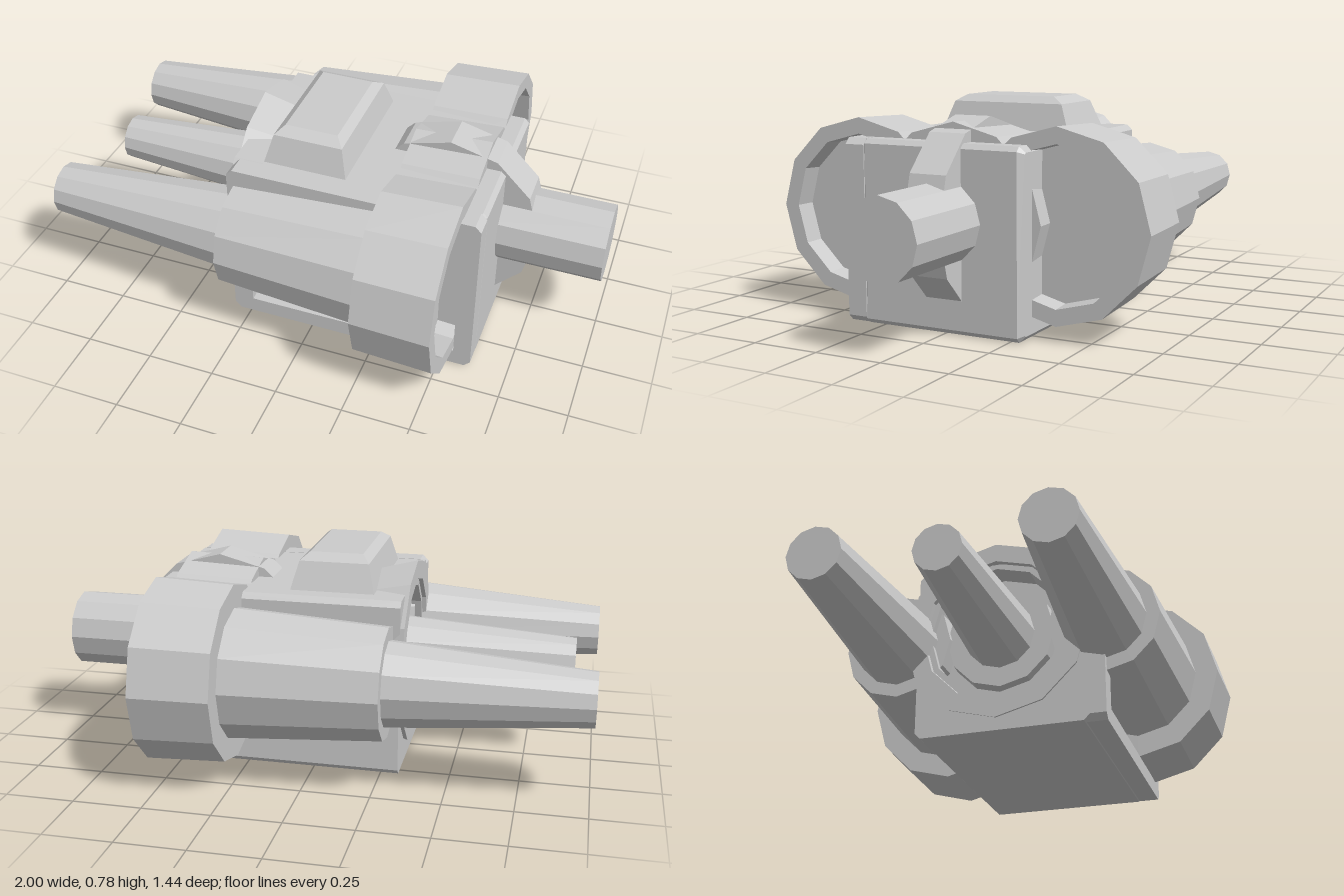
import * as THREE from 'three';

const AXIS_Y = 0.388;

export function createModel() {
  const model = new THREE.Group();
  const material = new THREE.MeshStandardMaterial({
    color: 0xcccccc, flatShading: true, side: THREE.DoubleSide,
  });

  const add = (name, geometry, parent = model) => {
    const mesh = new THREE.Mesh(geometry, material);
    mesh.name = name;
    parent.add(mesh);
    return mesh;
  };

  // Twelve-sided turned part along x; the profile lists [radius, x]
  const turned = (profile) => {
    const points = profile.map(([r, x]) => new THREE.Vector2(r, x));
    return new THREE.LatheGeometry(points, 12).rotateZ(-Math.PI / 2);
  };

  // Rectangle with cut corners
  const cutRect = (x0, y0, x1, y1, c) => new THREE.Shape([
    [x0 + c, y0], [x1 - c, y0], [x1, y0 + c], [x1, y1 - c],
    [x1 - c, y1], [x0 + c, y1], [x0, y1 - c], [x0, y0 + c],
  ].map(([x, y]) => new THREE.Vector2(x, y)));

  // Main housing, bevelled at its back
  const bevel = 0.02;
  const body = new THREE.ExtrudeGeometry(
    cutRect(-0.22 + bevel, bevel, 0.615 - bevel, 0.655 - bevel, 0.005),
    { depth: 0.595, bevelSize: bevel, bevelThickness: bevel, bevelSegments: 1 });
  add('housing', body.translate(0, 0, -0.28));

  // Frame around the recessed front panel
  const frame = cutRect(-0.315, 0, 0.615, 0.655, 0.022);
  frame.holes.push(new THREE.Path([
    [-0.24, 0.06], [-0.24, 0.59], [0.55, 0.59], [0.55, 0.06],
  ].map(([x, y]) => new THREE.Vector2(x, y))));
  add('panelFrame', new THREE.ExtrudeGeometry(frame, { depth: 0.075, bevelEnabled: false })
    .translate(0, 0, 0.32));

  // End wall with a round opening for the middle barrel
  const wall = cutRect(-0.335, 0, 0.30, 0.655, 0.02);
  const opening = new THREE.Path();
  for (let i = 0; i <= 12; i++) {
    const a = -i * Math.PI / 6;
    const x = 0.25 * Math.cos(a), y = AXIS_Y + 0.25 * Math.sin(a);
    if (i) opening.lineTo(x, y); else opening.moveTo(x, y);
  }
  wall.holes.push(opening);
  add('endWall', new THREE.ExtrudeGeometry(wall, { depth: 0.12, bevelEnabled: false })
    .rotateY(Math.PI / 2).translate(-0.315, 0, 0));

  // Tapered collar round the opening
  add('barrelCollar', turned([
    [0.25, -0.2], [0.275, -0.33], [0.345, -0.33], [0.30, -0.16], [0.25, 0],
  ])).position.y = AXIS_Y;

  // Three barrels: nozzle, sleeve and hollow rear cup
  const barrel = (name, z, tip, tipRadius, seat, seatRadius) => {
    const group = new THREE.Group();
    group.name = name;
    group.position.set(0, AXIS_Y, z);
    add('nozzle', turned([[0, tip], [tipRadius, tip], [seatRadius, seat]]), group);
    add('sleeve', turned([[0, seat], [0.203, seat], [0.238, 0.27]]), group);
    add('rearCup', turned([
      [0.22, 0.26], [0.322, 0.26], [0.333, 0.545], [0.275, 0.545], [0.27, 0.47], [0, 0.47],
    ]), group);
    model.add(group);
  };
  barrel('leftBarrel', 0.388, -1, 0.097, -0.29, 0.155);
  barrel('rightBarrel', -0.388, -1, 0.097, -0.29, 0.155);
  barrel('middleBarrel', 0, -0.92, 0.085, -0.27, 0.13);

  // Rear shaft and the upright disc it passes through
  add('rearShaft', turned([[0.143, 0.55], [0.143, 1], [0, 1]])).position.y = AXIS_Y;
  add('uprightDisc', new THREE.CylinderGeometry(0.345, 0.345, 0.14, 12).rotateX(Math.PI / 2))
    .position.set(0.41, AXIS_Y, 0);

  // Stepped cap on the roof: each level is y, x0, x1, z0, z1
  const levels = [
    [0.64, -0.21, 0.105, -0.225, 0.31],
    [0.755, -0.18, 0.075, -0.18, 0.27],
    [0.78, -0.15, 0.045, -0.135, 0.23],
  ];
  const cap = new THREE.BoxGeometry(1, 1, 1, 1, 2, 1);
  const p = cap.attributes.position;
  for (let i = 0; i < p.count; i++) {
    const [y, x0, x1, z0, z1] = levels[Math.round((p.getY(i) + 0.5) * 2)];
    p.setXYZ(i, p.getX(i) < 0 ? x0 : x1, y, p.getZ(i) < 0 ? z0 : z1);
  }
  cap.computeVertexNormals();
  add('roofCap', cap);

  return model;
}
